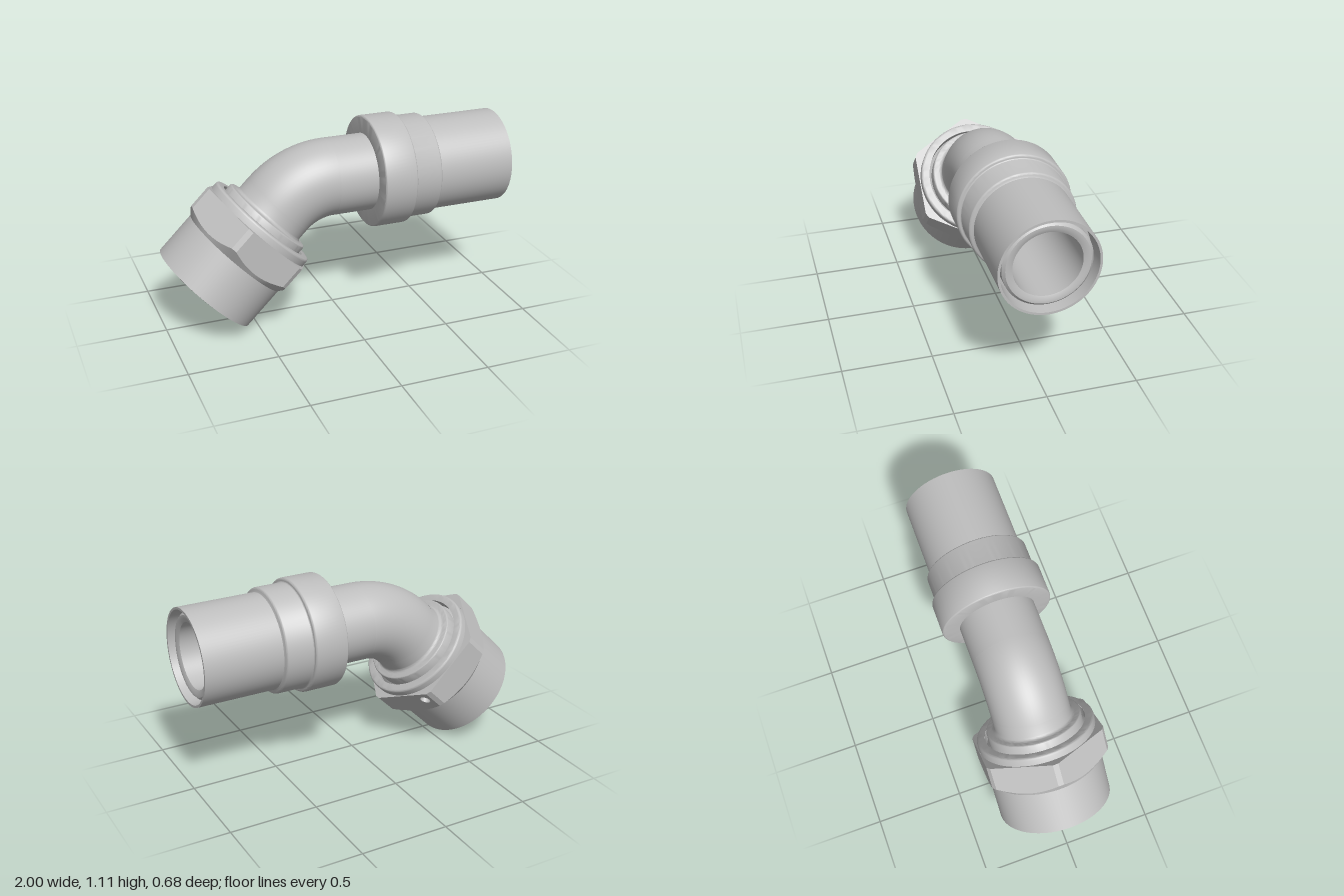
import * as THREE from 'three';
import { toCreasedNormals } from 'three/addons/utils/BufferGeometryUtils.js';

const steel = new THREE.MeshStandardMaterial({ color: 0xbebebe, side: THREE.DoubleSide });
steel.name = 'steel grey';

function add(parent, name, geometry) {
  const mesh = new THREE.Mesh(toCreasedNormals(geometry, 0.5), steel);
  mesh.name = name;
  parent.add(mesh);
  return mesh;
}

// Turned part from [radius, height] pairs
const turned = (points) =>
  new THREE.LatheGeometry(points.map(([r, h]) => new THREE.Vector2(r, h)), 96);

// Closed band between two rings of equal length
function band(ringA, ringB) {
  const n = ringA.length;
  const index = [];
  for (let i = 0; i < n; i++) {
    const j = (i + 1) % n;
    index.push(i, j, n + j, i, n + j, n + i);
  }
  const g = new THREE.BufferGeometry().setFromPoints([...ringA, ...ringB]);
  g.setIndex(index);
  return g;
}

// Quarter-round steps between two profile corners
function round(r, h, rad, from, to, steps = 5) {
  const out = [];
  for (let i = 0; i <= steps; i++) {
    const a = THREE.MathUtils.degToRad(from + ((to - from) * i) / steps);
    out.push([r + rad * Math.cos(a), h + rad * Math.sin(a)]);
  }
  return out;
}

const BORE = 0.183, PIPE = 0.22, AXIS_Y = 0.8, BEND_X = -0.03, BEND_R = 0.42;

// Straight arm: pipe, stepped sleeve and spigot, turned around the x axis
function makeStraightArm() {
  const arm = new THREE.Group();
  arm.name = 'straightArm';
  arm.rotation.z = -Math.PI / 2;
  arm.position.y = AXIS_Y;
  add(arm, 'straightPipe', turned([[PIPE, BEND_X], [PIPE, 0.21]]));
  add(arm, 'sleeve', turned([
    [PIPE, 0.195],
    ...round(0.308, 0.207, 0.012, -90, 0),
    ...round(0.305, 0.375, 0.015, 0, 90),
    ...round(0.303, 0.398, 0.008, 270, 180),
    ...round(0.28, 0.535, 0.015, 0, 90),
    [0.27, 0.555], [0.27, 1], [0.257, 1], [0.25, 0.88], [0.237, 0.88],
  ]));
  add(arm, 'innerTube', turned([
    [0.237, 0.88], [0.237, 0.955], [0.222, 0.97], [0.205, 0.97],
    [BORE, 0.96], [BORE, BEND_X],
  ]));
  return arm;
}

// Hexagon band with truncated corners, conical underside and a blind hole in one face
function makeHexagon() {
  const hex = new THREE.Group();
  hex.name = 'hexagon';
  const flat = 0.341, corner = 0.385, top = 0.457, N = 20;
  const half = Math.sqrt(corner * corner - flat * flat);
  const under = (s) => 0.284 + ((Math.hypot(flat, s) - flat) / (corner - flat)) * 0.036;
  const low = [], high = [], lowCircle = [], highCircle = [];
  const up = new THREE.Vector3(0, 1, 0);
  const hole = { s: 0.127, t: 0.395, r: 0.03, depth: 0.03 };

  for (let k = 0; k < 6; k++) {
    const angle = (k * Math.PI) / 3;
    const outline = [];
    for (let i = 0; i <= N; i++) {
      const s = half * ((2 * i) / N - 1);
      const a = angle + Math.atan2(s, flat);
      outline.push(new THREE.Vector2(s, under(s)));
      low.push(new THREE.Vector3(s, under(s), flat).applyAxisAngle(up, angle));
      high.push(new THREE.Vector3(s, top, flat).applyAxisAngle(up, angle));
      lowCircle.push(new THREE.Vector3(0.325 * Math.sin(a), 0.262, 0.325 * Math.cos(a)));
      highCircle.push(new THREE.Vector3(0.336 * Math.sin(a), top, 0.336 * Math.cos(a)));
    }
    outline.push(new THREE.Vector2(half, top), new THREE.Vector2(-half, top));
    const shape = new THREE.Shape(outline);
    if (k === 2) {
      shape.holes.push(new THREE.Path().absarc(hole.s, hole.t, hole.r, 0, Math.PI * 2, true));
      const wall = new THREE.CylinderGeometry(hole.r, hole.r, hole.depth, 24, 1, true);
      wall.rotateX(Math.PI / 2).translate(hole.s, hole.t, flat - hole.depth / 2);
      add(hex, 'holeWall', wall.rotateY(angle));
      const floor = new THREE.CircleGeometry(hole.r, 24);
      floor.translate(hole.s, hole.t, flat - hole.depth);
      add(hex, 'holeFloor', floor.rotateY(angle));
    }
    const face = new THREE.ShapeGeometry(shape, 24).translate(0, 0, flat);
    add(hex, 'hexFace', face.rotateY(angle));

    // narrow flat on the corner
    const cornerHalf = corner * Math.sin(Math.PI / 6 - Math.atan2(half, flat));
    const cornerFlat = new THREE.PlaneGeometry(cornerHalf * 2, top - 0.32);
    cornerFlat.translate(0, (top + 0.32) / 2, Math.sqrt(corner ** 2 - cornerHalf ** 2));
    add(hex, 'hexCorner', cornerFlat.rotateY(angle + Math.PI / 6));
  }
  add(hex, 'hexUnderside', band(lowCircle, low));
  add(hex, 'hexTop', band(high, highCircle));
  return hex;
}

// Union nut with the seat of the pipe inside, tilted 45 degrees
function makeNutArm() {
  const arm = new THREE.Group();
  arm.name = 'nutArm';
  arm.rotation.z = -Math.PI / 4;
  arm.position.set(-0.77, 0.235, 0);
  add(arm, 'nutSkirt', turned([
    [0.288, 0.5], [0.288, 0.43], [0.3, 0.4], [0.3, 0.02],
    [0.316, 0], [0.325, 0.002], [0.325, 0.262],
  ]));
  arm.add(makeHexagon());
  add(arm, 'nutRim', turned([
    [0.336, 0.457], ...round(0.322, 0.489, 0.014, 0, 90), [0.288, 0.503],
  ]));
  add(arm, 'pipeSeat', turned([
    [BORE, 0.627], [BORE, 0.22], [0.205, 0.22], [0.287, 0.38], [0.287, 0.45],
    [0.27, 0.465], ...round(0.26, 0.532, 0.01, 0, 90),
    ...round(0.24, 0.562, 0.02, 270, 180), [PIPE, 0.627],
  ]));
  return arm;
}

export function createModel() {
  const model = new THREE.Group();
  model.name = 'elbowFitting';
  model.add(makeStraightArm(), makeNutArm());

  // 45 degree bend, outside and bore
  for (const [name, radius] of [['bend', PIPE], ['bendBore', BORE]]) {
    const g = new THREE.TorusGeometry(BEND_R, radius, 64, 32, Math.PI / 4);
    g.rotateZ(Math.PI / 2).translate(BEND_X, AXIS_Y - BEND_R, 0);
    add(model, name, g);
  }
  return model;
}
